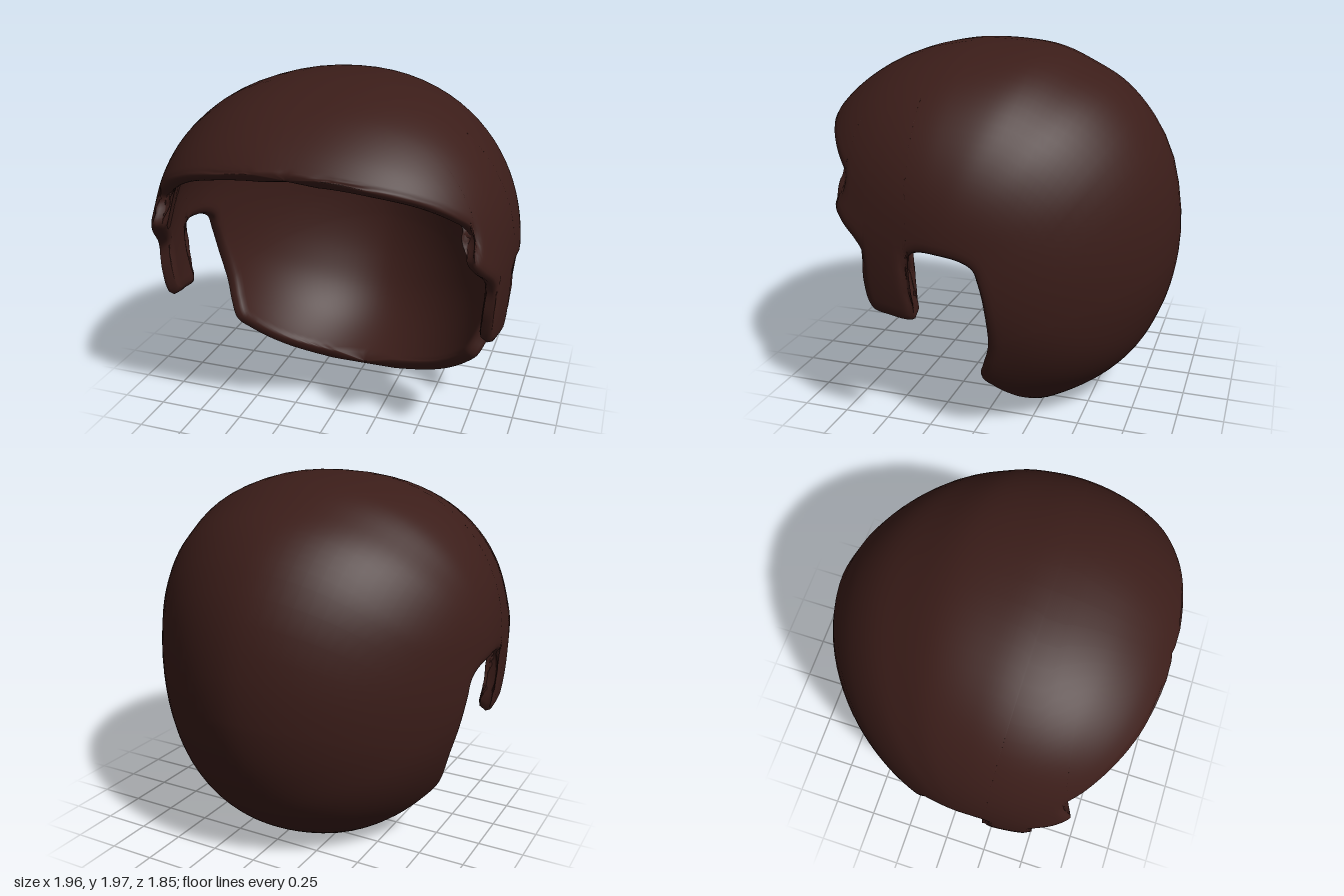
import * as THREE from 'three';

const CZ = 0.13, CY = 1.1, HALF_WIDTH = 0.98, THICK = 0.085, ROLL = 0.05;

// centre-line outline (z, y), continued across the open face so the dome is a closed form
const outline = new THREE.CatmullRomCurve3([
  [0.93, 1.66], [0.82, 1.77], [0.65, 1.88], [0.47, 1.95], [0.28, 1.99], [0.1, 2.0], [-0.2, 1.97],
  [-0.4, 1.89], [-0.58, 1.79], [-0.73, 1.64], [-0.85, 1.44], [-0.91, 1.22], [-0.93, 1.0], [-0.91, 0.77],
  [-0.85, 0.55], [-0.74, 0.33], [-0.58, 0.16], [-0.33, 0.01], [-0.14, -0.05], [0.3, -0.1], [0.9, 0.15],
  [1.2, 0.7], [1.22, 1.2], [1.05, 1.5],
].map(([z, y]) => new THREE.Vector3(z, y, 0)), true);

// outline radius by angle about the centre
const TAU = Math.PI * 2;
const polar = outline.getPoints(360).slice(0, 360).map(p => ({
  a: (Math.atan2(p.y - CY, p.x - CZ) + TAU) % TAU,
  r: Math.hypot(p.x - CZ, p.y - CY),
})).sort((p, q) => p.a - q.a);
polar.unshift({ a: polar[359].a - TAU, r: polar[359].r });
polar.push({ a: polar[1].a + TAU, r: polar[1].r });
function radius(angle) {
  const a = (angle + 2 * TAU) % TAU;
  const i = Math.max(1, polar.findIndex(p => p.a >= a));
  const p = polar[i - 1], q = polar[i];
  return p.r + (q.r - p.r) * (a - p.a) / (q.a - p.a || 1);
}

// dome as a superellipsoid whose roundness changes with direction
function dome(z, y) {
  const a = Math.atan2(y - CY, z - CZ);
  const r = Math.hypot(z - CZ, y - CY) / radius(a);
  return { r, p: 2.05 + 0.25 * Math.cos(a) + 0.15 * Math.sin(a) ** 2 };
}
function surface(z, y) {
  const { r, p } = dome(z, y);
  return new THREE.Vector3(HALF_WIDTH * Math.pow(Math.max(0, 1 - Math.pow(r, p)), 1 / p), y, z);
}
function field(x, y, z) {
  const { r, p } = dome(z, y);
  return Math.pow(Math.abs(x) / HALF_WIDTH, p) + Math.pow(r, p);
}
function normal({ x, y, z }) {
  const e = 0.004;
  return new THREE.Vector3(
    field(x + e, y, z) - field(x - e, y, z),
    field(x, y + e, z) - field(x, y - e, z),
    field(x, y, z + e) - field(x, y, z - e)).normalize();
}

// hairline (z, y) from brow to nape, each with the angle its strip reaches on the outline
const hairline = new THREE.CatmullRomCurve3([
  [0.93, 1.66, 35], [0.89, 1.62, 40], [0.8, 1.555, 47], [0.7, 1.47, 54], [0.64, 1.41, 59],
  [0.635, 1.36, 62], [0.685, 1.25, 65], [0.64, 1.18, 67], [0.54, 1.09, 69], [0.51, 1.03, 71],     // temple
  [0.51, 0.88, 72.5], [0.475, 0.74, 74], [0.38, 0.715, 77], [0.24, 0.715, 80],                    // sideburn
  [0.255, 0.9, 81], [0.262, 1.02, 82.5], [0.245, 1.065, 84], [0.2, 1.085, 87], [0.1, 1.08, 94],   // ear notch
  [0, 1.06, 102], [-0.07, 1.02, 112], [-0.1, 0.94, 128], [-0.12, 0.82, 150], [-0.125, 0.6, 192],
  [-0.11, 0.53, 202], [-0.08, 0.45, 212], [-0.05, 0.35, 222], [-0.1, 0.27, 229], [-0.2, 0.14, 237],
  [-0.33, 0.01, 247],                                                                             // nape
].map(([z, y, d]) => new THREE.Vector3(z, y, d * Math.PI / 180)));

function hairShell() {
  const ROWS = 174, N = 26, LOOP = 4 * N;
  const rows = hairline.getPoints(ROWS);
  const edge = rows.map(p => surface(p.x, p.y));
  const pos = [], index = [];

  rows.forEach(row => {
    const R = radius(row.z);
    const oz = CZ + R * Math.cos(row.z), oy = CY + R * Math.sin(row.z);
    // half strip from hairline to centre line: outer and inner skins, meeting in a rolled rim
    const outer = [], inner = [];
    for (let i = 0; i <= N; i++) {
      const s = Math.sin(Math.PI / 2 * Math.pow(i / N, 1.5));
      const p = surface(row.x + (oz - row.x) * s, row.y + (oy - row.y) * s);
      if (i === N) p.x = 0;
      const n = normal(p);
      let d = ROLL;
      for (const e of edge) d = Math.min(d, e.distanceTo(p));
      if (i === 0) d = 0;
      const q = Math.sqrt(1 - (1 - d / ROLL) ** 2);
      outer.push(p.clone().addScaledVector(n, -THICK * 0.35 * (1 - q)));
      inner.push(p.clone().addScaledVector(n, -THICK * (0.35 + 0.65 * q)));
    }
    // closed loop: outer skin left to right, inner skin back again
    for (let j = 0; j < LOOP; j++) {
      const skin = j <= 2 * N ? outer : inner;
      const k = j <= 2 * N ? j : LOOP - j;
      const p = skin[k <= N ? k : 2 * N - k];
      pos.push(k <= N ? p.x : -p.x, p.y, p.z);
    }
  });

  for (let t = 0; t < ROWS; t++) {
    for (let j = 0; j < LOOP; j++) {
      const a = t * LOOP + j, b = t * LOOP + (j + 1) % LOOP;
      index.push(a, a + LOOP, b, b, a + LOOP, b + LOOP);
    }
  }
  const g = new THREE.BufferGeometry();
  g.setAttribute('position', new THREE.Float32BufferAttribute(pos, 3));
  g.setIndex(index);
  g.computeVertexNormals();
  return g;
}

export function createModel() {
  const group = new THREE.Group();
  group.name = 'hair';
  const material = new THREE.MeshStandardMaterial({ color: 0x3b1d19, side: THREE.DoubleSide });
  const shell = new THREE.Mesh(hairShell(), material);
  shell.name = 'hairCap';
  group.add(shell);
  return group;
}
